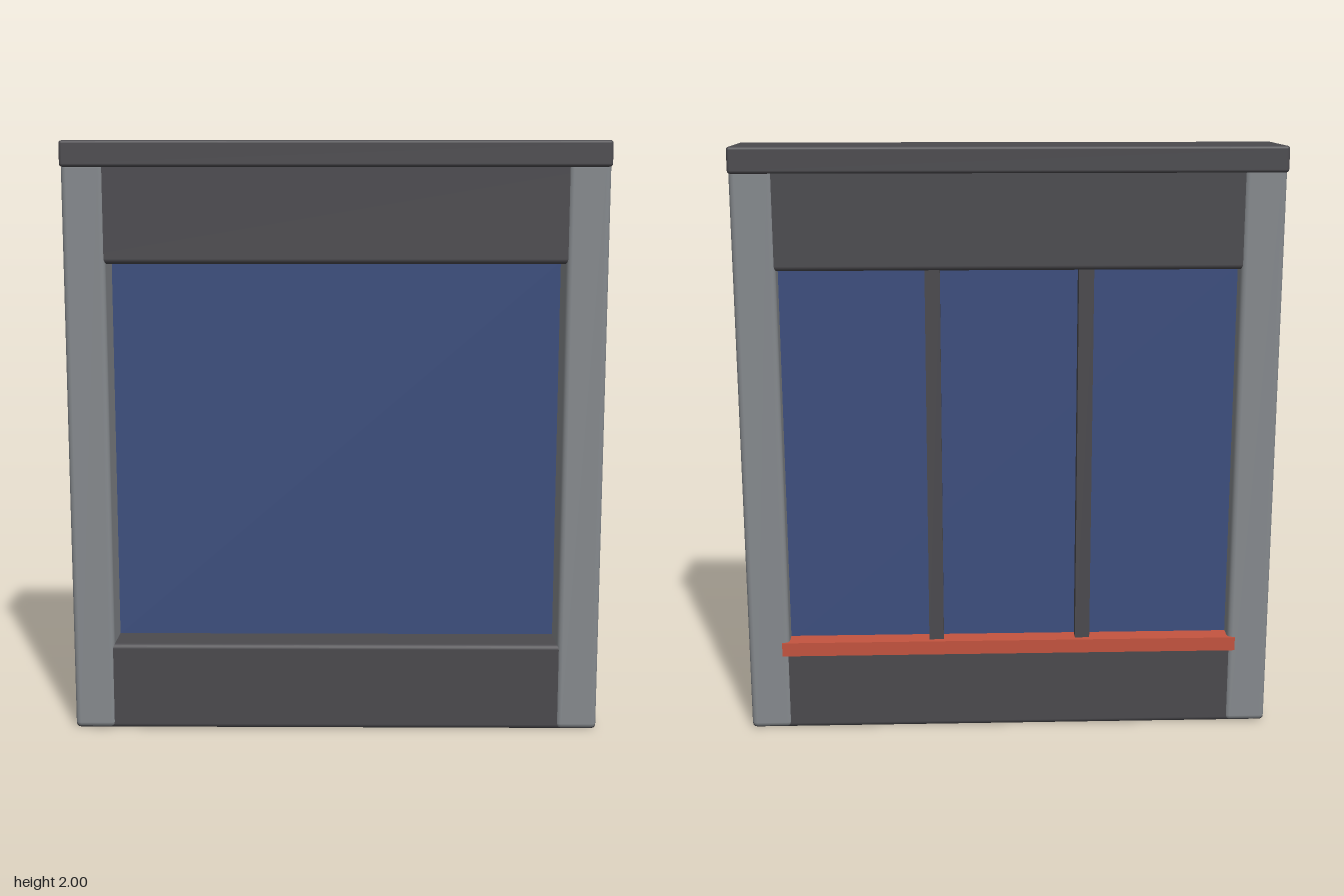
import * as THREE from 'three';
import { RoundedBoxGeometry } from 'three/addons/geometries/RoundedBoxGeometry.js';

const material = (name, color) => {
  const m = new THREE.MeshStandardMaterial({ color });
  m.name = name;
  return m;
};

export function createModel() {
  const dark = material('charcoal frame', 0x4b4a4e);
  const grey = material('grey post', 0x868a8e);
  const blue = material('blue glass', 0x3c4e7e);
  const red = material('red sill', 0xc4543f);
  const group = new THREE.Group();

  // Box given by its minimum and maximum corners, with optional rounded edges
  const block = (name, mat, [x0, y0, z0], [x1, y1, z1], radius = 0) => {
    const size = [x1 - x0, y1 - y0, z1 - z0];
    const geometry = radius
      ? new RoundedBoxGeometry(...size, 2, radius)
      : new THREE.BoxGeometry(...size);
    const mesh = new THREE.Mesh(geometry, mat);
    mesh.name = name;
    mesh.position.set((x0 + x1) / 2, (y0 + y1) / 2, (z0 + z1) / 2);
    group.add(mesh);
  };

  // Full-width rails, whose ends show on the outer sides of the posts
  block('bottomRail', dark, [-0.9005, 0, -0.12], [0.9005, 0.3, 0.12], 0.016);
  block('topRail', dark, [-0.9005, 1.6, -0.12], [0.9005, 1.93, 0.12], 0.016);

  // Side posts
  block('leftPost', grey, [0.76, 0.003, -0.125], [0.9, 1.93, 0.125], 0.018);
  block('rightPost', grey, [-0.9, 0.003, -0.125], [-0.76, 1.93, 0.125], 0.018);

  // Overhanging cap
  block('cap', dark, [-0.9, 1.915, -0.148], [0.9, 2, 0.148], 0.01);

  // Glass pane set into the opening
  block('glass', blue, [-0.78, 0.28, -0.06], [0.78, 1.62, -0.015]);

  // Two upright bars behind the glass
  for (const x of [-0.253, 0.253]) {
    block('glazingBar', dark, [x - 0.025, 0.29, -0.11], [x + 0.025, 1.61, -0.05]);
  }

  // Sill along the back
  block('backSill', red, [-0.785, 0.27, -0.13], [0.785, 0.318, -0.055]);

  return group;
}
